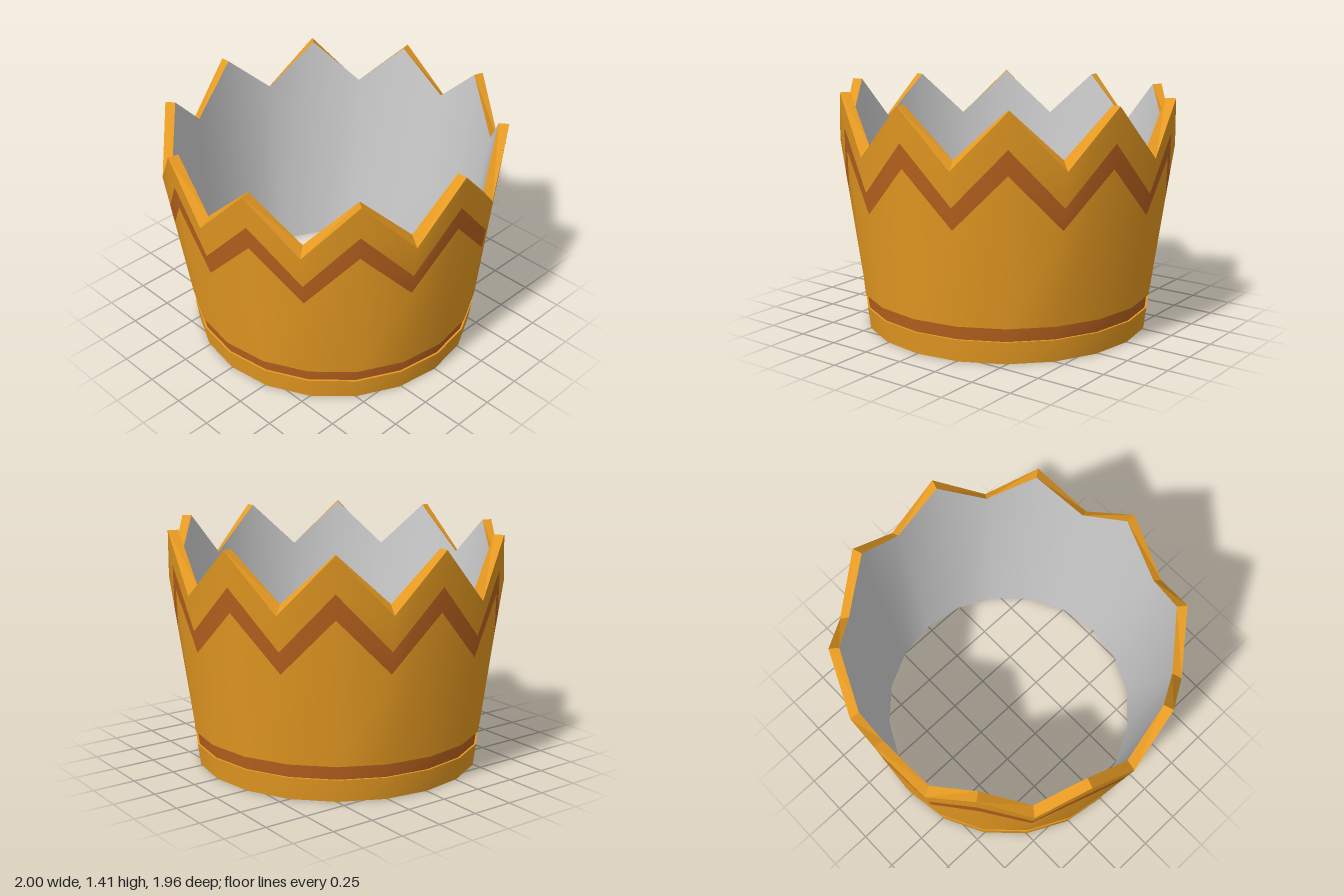
import * as THREE from 'three';

const SIDES = 20;
const GOLD = 0xe69a22, BROWN = 0xb8621e, GREY = 0xcccccc;

// Even columns are points, odd columns are notches; the back sits slightly lower
const angle = (i) => (i / SIDES) * Math.PI * 2;
const drop = (i) => (Math.cos(angle(i)) < -0.1 ? 0.03 : 0);
const zigzag = (peak, notch) => (i) => (i % 2 ? notch : peak) - drop(i);
const ring = (rx, rz, y) => (i) => [rx * Math.sin(angle(i)), y, rz * Math.cos(angle(i))];

const BASE_Y = 0.21;
const rimY = zigzag(1.41, 1.09);
const innerRimY = zigzag(1.41, 1.14);

// Row on the flared outer wall at a given height per column
const onWall = (heightAt) => (i) => {
  const y = heightAt(i);
  const t = (y - BASE_Y) / (rimY(i) - BASE_Y);
  return ring(0.872 + 0.128 * t, 0.876 + 0.104 * t, y)(i);
};

// Closed strip between two rows, facing outward when the first row is the lower
function strip(name, color, low, high, flat = false) {
  const pos = [], index = [];
  for (let i = 0; i < SIDES; i++) {
    pos.push(...low(i), ...high(i));
    const a = 2 * i, b = a + 1, c = 2 * ((i + 1) % SIDES), d = c + 1;
    index.push(a, c, d, a, d, b);
  }
  let geo = new THREE.BufferGeometry();
  geo.setAttribute('position', new THREE.Float32BufferAttribute(pos, 3));
  geo.setIndex(index);
  if (flat) geo = geo.toNonIndexed();
  geo.computeVertexNormals();
  const mesh = new THREE.Mesh(geo, new THREE.MeshStandardMaterial({ color }));
  mesh.name = name;
  return mesh;
}

export function createModel() {
  const crown = new THREE.Group();
  crown.name = 'crown';

  // Rows from the foot up to the rim
  const innerFoot = ring(0.787, 0.788, 0);
  const foot = ring(0.846, 0.85, 0);
  const footTop = ring(0.862, 0.866, 0.13);
  const grooveLow = ring(0.85, 0.854, 0.13);
  const grooveHigh = ring(0.86, 0.864, BASE_Y);
  const wallBase = onWall(() => BASE_Y);
  const bandLow = onWall(zigzag(1.07, 0.765));
  const bandHigh = onWall(zigzag(1.21, 0.89));
  const rim = onWall(rimY);
  const innerRim = (i) => ring(0.94, 0.922, innerRimY(i))(i);

  crown.add(
    strip('footUnderside', GOLD, innerFoot, foot, true),
    strip('footRing', GOLD, foot, footTop),
    strip('footLedge', GOLD, footTop, grooveLow, true),
    strip('grooveBand', BROWN, grooveLow, grooveHigh),
    strip('wallUnderside', GOLD, grooveHigh, wallBase, true),
    strip('lowerWall', GOLD, wallBase, bandLow),
    strip('zigzagBand', BROWN, bandLow, bandHigh),
    strip('points', GOLD, bandHigh, rim),
    strip('rimEdge', GOLD, rim, innerRim, true),
    strip('lining', GREY, innerRim, innerFoot),
  );
  return crown;
}
